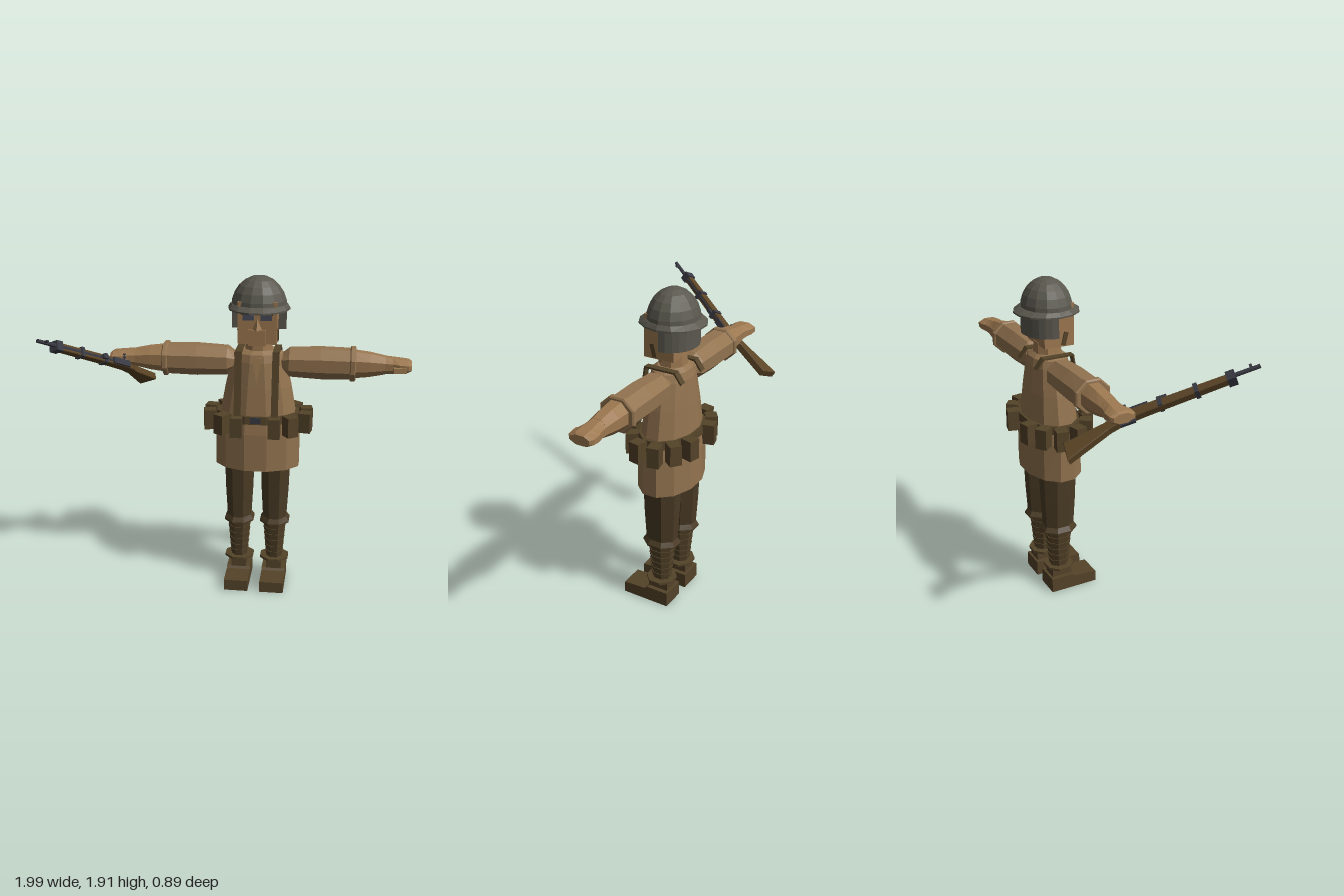
import * as THREE from 'three';

const mat = (name, color) => Object.assign(new THREE.MeshStandardMaterial({ color }), { name });

// Faceted ring loft along y; ring = [y, rx, rz, cx, cz]. Flat sides face the axes.
function loft(rings, n = 8) {
  const pos = [], idx = [], k = 1 / Math.cos(Math.PI / n);
  for (const [y, rx, rz, cx = 0, cz = 0] of rings)
    for (let i = 0; i < n; i++) {
      const a = ((i + 0.5) / n) * Math.PI * 2;
      pos.push(cx + Math.sin(a) * rx * k, y, cz + Math.cos(a) * rz * k);
    }
  for (let r = 0; r < rings.length - 1; r++)
    for (let i = 0; i < n; i++) {
      const j = (i + 1) % n, a = r * n + i, b = r * n + j;
      idx.push(a, b, b + n, a, b + n, a + n);
    }
  const t = (rings.length - 1) * n;
  for (let i = 1; i < n - 1; i++) idx.push(0, i + 1, i, t, t + i, t + i + 1);
  const g = new THREE.BufferGeometry();
  g.setAttribute('position', new THREE.Float32BufferAttribute(pos, 3));
  g.setIndex(idx);
  return g;
}

export function createModel() {
  const model = new THREE.Group();
  const tunic = mat('tunic tan', 0x92734f), skin = mat('skin', 0x9c7850);
  const trousers = mat('trouser brown', 0x4a3b25), leather = mat('leather brown', 0x544329);
  const steel = mat('helmet grey', 0x5a584e), metal = mat('gun metal', 0x393a43);
  const wood = mat('stock wood', 0x5c4526), lens = mat('eye grey', 0x474a58);

  // Body axis
  const body = new THREE.Group();
  body.name = 'soldier';
  body.position.set(0.123, 0, -0.183);
  model.add(body);

  const add = (parent, name, geo, m, x = 0, y = 0, z = 0) => {
    const g = geo.index ? geo.toNonIndexed() : geo;
    g.computeVertexNormals();
    const mesh = new THREE.Mesh(g, m);
    mesh.name = name;
    mesh.position.set(x, y, z);
    parent.add(mesh);
    return mesh;
  };
  const box = (parent, name, m, w, h, d, x, y, z) =>
    add(parent, name, new THREE.BoxGeometry(w, h, d), m, x, y, z);
  // Flat bar in a constant-x plane between two (y, z) points
  const bar = (name, m, x, y0, z0, y1, z1, w, t) => {
    const b = box(body, name, m, w, Math.hypot(y1 - y0, z1 - z0), t, x, (y0 + y1) / 2, (z0 + z1) / 2);
    b.rotation.x = Math.atan2(z1 - z0, y1 - y0);
    return b;
  };

  // Tunic
  add(body, 'torso', loft([[1.07, 0.226, 0.145], [1.27, 0.19, 0.128], [1.42, 0.155, 0.112],
    [1.465, 0.14, 0.1], [1.485, 0.1, 0.075]], 12), tunic);
  add(body, 'tunicSkirt', loft([[0.775, 0.247, 0.16], [1.0, 0.246, 0.158], [1.09, 0.23, 0.148]], 12), tunic);
  const collar = new THREE.Shape([new THREE.Vector2(-0.028, 0.15), new THREE.Vector2(0, 0), new THREE.Vector2(0.028, 0.15)]);
  add(body, 'openCollar', new THREE.ExtrudeGeometry(collar, { depth: 0.006, bevelEnabled: false }), skin, 0, 1.3, 0.124)
    .rotation.x = -0.13;

  // Belt, buckle and pouches
  add(body, 'belt', loft([[1.065, 0.243, 0.158], [1.112, 0.24, 0.155]], 12), leather);
  box(body, 'buckle', metal, 0.06, 0.035, 0.012, 0, 1.092, 0.16);
  const pouches = [[0.11, 0.18, 0], [0.2, 0.14, 0.6], [0.282, 0.05, 1.38], [0.282, -0.055, 1.76],
    [0.21, -0.13, 2.5], [0.11, -0.175, 2.9]];
  for (const s of [-1, 1])
    for (const [x, z, a] of pouches)
      box(body, 'pouch', leather, 0.068, 0.118, 0.07, s * x, 1.059, z).rotation.y = s * a;

  // Shoulder straps
  for (const x of [-0.108, 0.108]) {
    bar('frontStrap', leather, x, 1.11, 0.158, 1.48, 0.1, 0.04, 0.01);
    bar('topStrap', leather, x, 1.482, 0.103, 1.482, -0.085, 0.04, 0.01);
    bar('backStrap', leather, x, 1.482, -0.08, 1.425, -0.122, 0.04, 0.01);
  }

  // Arms, held straight out
  for (const s of [-1, 1]) {
    const arm = new THREE.Group();
    arm.name = s > 0 ? 'leftArm' : 'rightArm';
    arm.position.set(0, 1.407, -0.005);
    body.add(arm);
    const limb = (name, rings, m) => add(arm, name, loft(rings).rotateZ(-s * Math.PI / 2), m);
    limb('sleeve', [[0.1, 0.04, 0.05], [0.14, 0.05, 0.062], [0.18, 0.08, 0.084], [0.36, 0.089, 0.09], [0.535, 0.085, 0.09]], tunic);
    limb('sleeveCuff', [[0.528, 0.088, 0.093], [0.534, 0.095, 0.1], [0.556, 0.095, 0.1], [0.562, 0.086, 0.092]], tunic);
    limb('forearm', [[0.55, 0.078, 0.072], [0.64, 0.068, 0.066], [0.73, 0.05, 0.056]], skin);
    limb('hand', [[0.72, 0.05, 0.056], [0.77, 0.045, 0.058], [0.81, 0.04, 0.07],
      [0.86, 0.034, 0.07], [0.877, 0.026, 0.055]], skin);
    box(arm, 'thumb', skin, 0.075, 0.03, 0.03, s * 0.81, -0.012, 0.073).rotation.y = s * 0.15;
  }

  // Legs
  for (const s of [-1, 1]) {
    const leg = new THREE.Group();
    leg.name = s > 0 ? 'leftLeg' : 'rightLeg';
    leg.position.set(s * 0.109, 0, 0);
    body.add(leg);
    add(leg, 'trouserLeg', loft([[0.398, 0.088, 0.104], [0.408, 0.088, 0.104], [0.435, 0.07, 0.088],
      [0.6, 0.079, 0.097], [0.82, 0.086, 0.104]]), trousers);
    for (let i = 0; i < 6; i++) {
      const r = 0.046 + i * 0.0032, y = 0.155 + i * 0.041;
      add(leg, 'legWrap', loft([[y, r, r * 1.12], [y + 0.041, r + 0.008, r * 1.12 + 0.008]]), leather);
    }
    add(leg, 'bootCollar', loft([[0.136, 0.062, 0.064], [0.143, 0.086, 0.082], [0.157, 0.086, 0.082]]), leather);
    box(leg, 'ankle', leather, 0.092, 0.07, 0.125, 0, 0.112, 0);
    const side = new THREE.Shape([[-0.077, 0], [0.216, 0], [0.216, 0.068], [0.075, 0.075], [0.06, 0.09], [-0.077, 0.09]]
      .map(p => new THREE.Vector2(...p)));
    add(leg, 'boot', new THREE.ExtrudeGeometry(side, { depth: 0.145, bevelEnabled: false })
      .translate(0, 0, -0.0725).rotateY(-Math.PI / 2), leather);
  }

  // Head
  add(body, 'neck', loft([[1.44, 0.08, 0.075], [1.55, 0.07, 0.07]]), skin);
  box(body, 'head', skin, 0.222, 0.24, 0.18, 0, 1.655, 0.024);
  box(body, 'jaw', skin, 0.1, 0.092, 0.07, 0, 1.573, 0.095);
  const nose = new THREE.ConeGeometry(0.03, 0.07, 4);
  add(body, 'nose', nose, skin, 0, 1.65, 0.113);
  for (const s of [-1, 1]) {
    box(body, 'eye', lens, 0.064, 0.03, 0.008, s * 0.051, 1.687, 0.116);
    box(body, 'brow', trousers, 0.075, 0.012, 0.009, s * 0.052, 1.709, 0.117);
    box(body, 'chinStrap', leather, 0.009, 0.075, 0.025, s * 0.113, 1.58, 0.055).rotation.x = 0.25;
  }

  // Helmet: dome, brim and curved neck guard
  add(body, 'helmetDome', new THREE.SphereGeometry(1, 14, 6, 0, Math.PI * 2, 0, Math.PI / 2)
    .scale(0.162, 0.185, 0.146), steel, 0, 1.722, 0);
  add(body, 'helmetBrim', loft([[1.717, 0.174, 0.182], [1.726, 0.174, 0.182], [1.748, 0.16, 0.146]], 14), steel);
  const guard = new THREE.Shape();
  guard.absellipse(0, 0, 0.158, 0.142, 0, Math.PI, false);
  guard.absellipse(0, 0, 0.113, 0.112, Math.PI, 0, true);
  add(body, 'neckGuard', new THREE.ExtrudeGeometry(guard, { depth: 0.13, bevelEnabled: false, curveSegments: 6 })
    .rotateX(-Math.PI / 2), steel, 0, 1.6, 0);

  // Rifle: local +x runs to the muzzle at the origin, +y is the sight side
  const rifle = new THREE.Group();
  rifle.name = 'rifle';
  const dir = new THREE.Vector3(-0.47, 0.386, 0.794).normalize();
  const sideways = new THREE.Vector3().crossVectors(dir, new THREE.Vector3(0.83, 0.415, 0.37)).normalize();
  const up = new THREE.Vector3().crossVectors(sideways, dir);
  rifle.quaternion.setFromRotationMatrix(new THREE.Matrix4().makeBasis(dir, up, sideways));
  rifle.position.set(-0.99, 1.645, 0.437);
  model.add(rifle);
  const profile = new THREE.Shape([[-0.15, 0.012], [-0.15, -0.022], [-0.6, -0.034], [-0.72, -0.042], [-0.8, -0.062],
    [-1.03, -0.165], [-1.04, -0.052], [-0.82, -0.018], [-0.76, 0.006], [-0.7, 0.014]].map(p => new THREE.Vector2(...p)));
  add(rifle, 'stock', new THREE.ExtrudeGeometry(profile, { depth: 0.034, bevelEnabled: true, bevelSize: 0.004,
    bevelThickness: 0.004, bevelSegments: 1 }), wood, 0, 0, -0.017);
  add(rifle, 'barrel', new THREE.CylinderGeometry(0.011, 0.013, 0.62, 8).rotateZ(-Math.PI / 2), metal, -0.31, 0.008, 0);
  for (const x of [-0.15, -0.33, -0.52])
    box(rifle, 'barrelBand', metal, x === -0.15 ? 0.045 : 0.022, 0.06, 0.054, x, -0.004, 0);
  box(rifle, 'receiver', metal, 0.14, 0.03, 0.036, -0.65, 0.014, 0);
  box(rifle, 'frontSight', metal, 0.014, 0.03, 0.008, -0.045, 0.026, 0);
  box(rifle, 'rearSight', metal, 0.04, 0.02, 0.02, -0.5, 0.03, 0);
  box(rifle, 'triggerGuard', metal, 0.08, 0.02, 0.014, -0.7, -0.052, 0);
  box(rifle, 'boltHandle', metal, 0.014, 0.014, 0.05, -0.69, 0.012, 0.035);
  return model;
}
